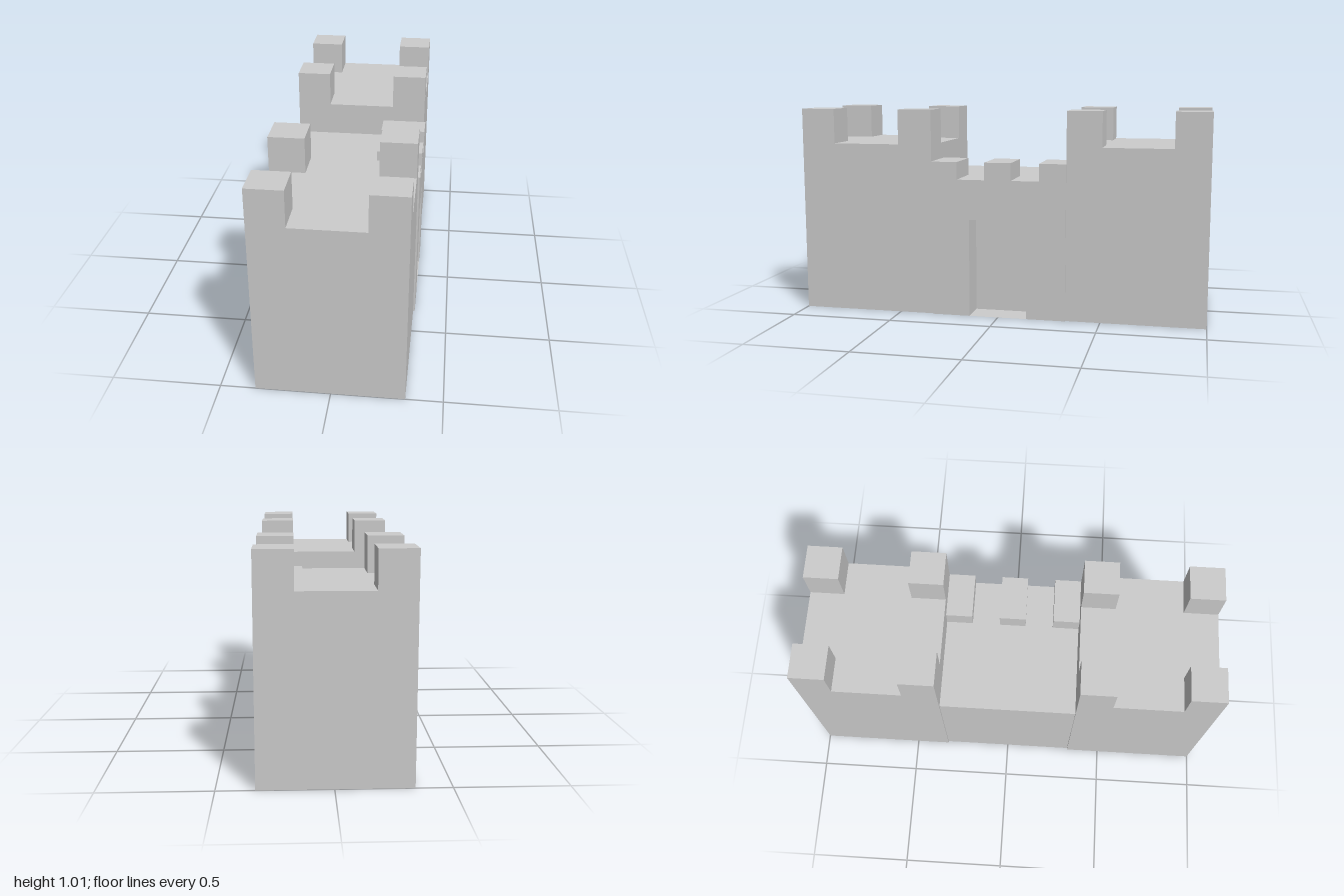
import * as THREE from 'three';

const material = new THREE.MeshStandardMaterial({ color: 0xcccccc, flatShading: true });

// Box given by its extents on each axis
function block(parent, name, [x0, x1], [y0, y1], [z0, z1]) {
  const mesh = new THREE.Mesh(new THREE.BoxGeometry(x1 - x0, y1 - y0, z1 - z0), material);
  mesh.position.set((x0 + x1) / 2, (y0 + y1) / 2, (z0 + z1) / 2);
  mesh.name = name;
  parent.add(mesh);
}

// Square tower with a merlon on each corner
function makeTower(name, z0, z1) {
  const tower = new THREE.Group();
  tower.name = name;
  const x0 = -0.34, x1 = 0.332, top = 0.84, size = 0.168;
  block(tower, 'towerBody', [x0, x1], [0, top], [z0, z1]);
  for (const x of [x0, x1 - size])
    for (const z of [z0, z1 - size])
      block(tower, 'towerMerlon', [x, x + size], [top, 1.01], [z, z + size]);
  return tower;
}

// Lower gatehouse between the towers, with a recessed doorway on the +x side
function makeGatehouse(half) {
  const gate = new THREE.Group();
  gate.name = 'gatehouse';
  const back = -0.332, face = 0.34, recess = 0.203, top = 0.675;
  const doorHalf = 0.142, doorTop = 0.48;

  block(gate, 'gateBody', [back, recess], [0, top], [-half, half]);
  block(gate, 'doorJamb', [recess, face], [0, doorTop], [doorHalf, half]);
  block(gate, 'doorJamb', [recess, face], [0, doorTop], [-half, -doorHalf]);
  block(gate, 'doorLintel', [recess, face], [doorTop, top], [-half, half]);

  // Thin doorway floor
  const floorMaterial = material.clone();
  floorMaterial.side = THREE.DoubleSide;
  const floor = new THREE.Mesh(
    new THREE.PlaneGeometry(face - recess, 2 * doorHalf).rotateX(-Math.PI / 2), floorMaterial);
  floor.position.x = (face + recess) / 2;
  floor.name = 'doorFloor';
  gate.add(floor);

  // Three merlons along the parapet above the door
  const width = 0.13;
  for (const z of [-half, -width / 2, half - width])
    block(gate, 'gateMerlon', [0.115, face], [top, 0.76], [z, z + width]);
  return gate;
}

export function createModel() {
  const model = new THREE.Group();
  model.name = 'castleGate';
  const half = 0.332;
  model.add(makeTower('frontTower', half, 1));
  model.add(makeTower('backTower', -1, -half));
  model.add(makeGatehouse(half));
  return model;
}
